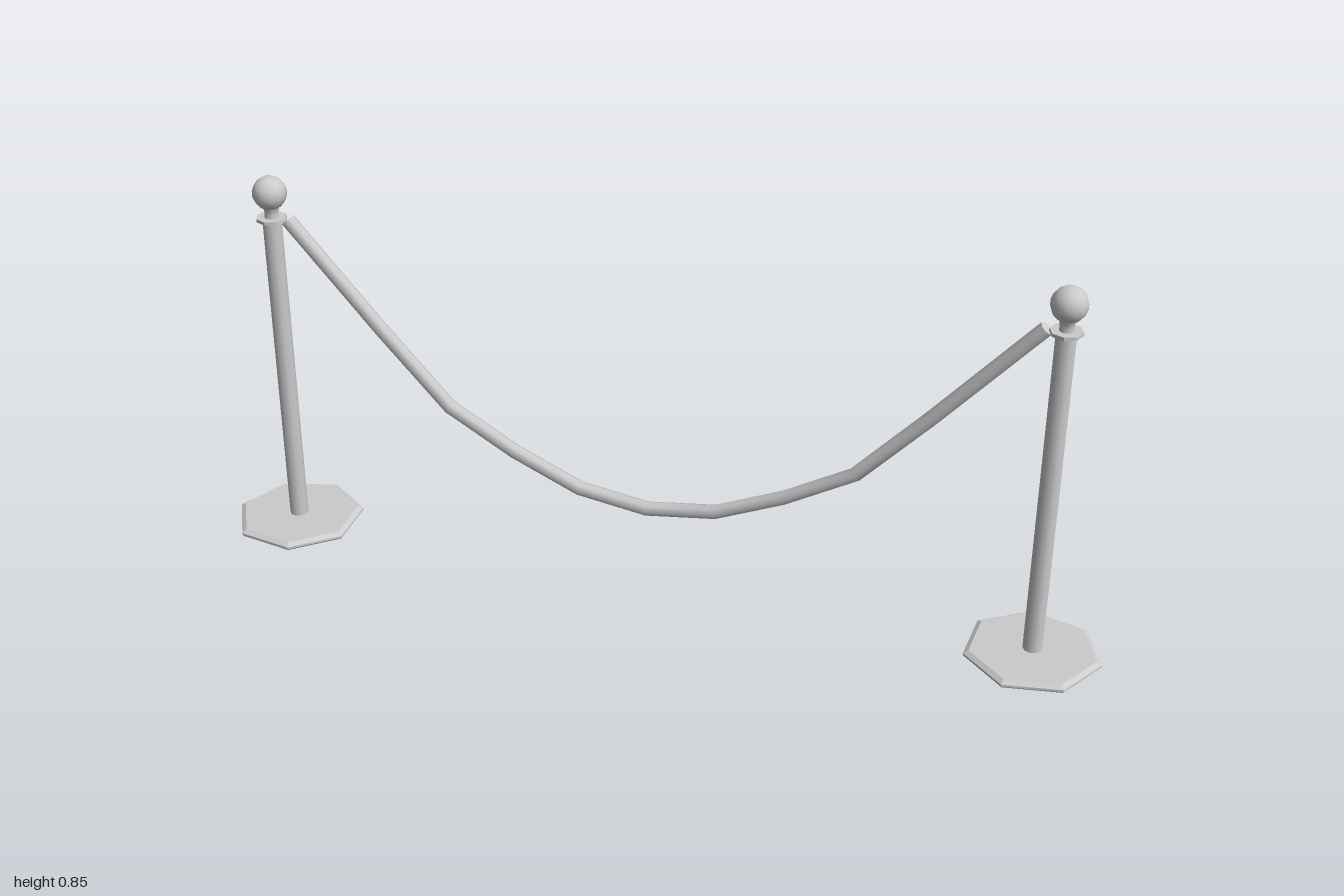
import * as THREE from 'three';

const smooth = new THREE.MeshStandardMaterial({ color: 0xcccccc });
const flat = new THREE.MeshStandardMaterial({ color: 0xcccccc, flatShading: true });

const POST_X = 0.853;
const POST_Z = 0.002;

function part(name, geometry, material, y = 0) {
  const mesh = new THREE.Mesh(geometry, material);
  mesh.name = name;
  mesh.position.y = y;
  return mesh;
}

function lathe(profile, sides, phiStart = 0) {
  return new THREE.LatheGeometry(profile.map(([r, y]) => new THREE.Vector2(r, y)), sides, phiStart);
}

// One post; side is +1 for left (+x) and -1 for right
function createPost(side) {
  const post = new THREE.Group();
  post.name = side > 0 ? 'leftPost' : 'rightPost';
  post.position.set(side * POST_X, 0, POST_Z);

  // Seven-sided foot plate with a bevelled rim, a corner pointing outwards
  const start = side * THREE.MathUtils.degToRad(87);
  post.add(part('base', lathe([[0, 0], [0.143, 0], [0.147, 0.004], [0.147, 0.009], [0.136, 0.016], [0, 0.016]], 7, start), flat));

  post.add(part('pole', new THREE.CylinderGeometry(0.021, 0.021, 0.742, 10), smooth, 0.385));
  post.add(part('collar', new THREE.CylinderGeometry(0.034, 0.034, 0.007, 8), flat, 0.756));
  post.add(part('neck', lathe([[0.016, 0.757], [0.0145, 0.768], [0.016, 0.777], [0.021, 0.788]], 10), smooth));
  post.add(part('ball', new THREE.SphereGeometry(0.0375, 12, 9), smooth, 0.815));
  return post;
}

// Sagging path made of straight segments with evenly numbered corners
class RopeCurve extends THREE.Curve {
  constructor(points) {
    super();
    this.points = points;
  }
  getPoint(t, target = new THREE.Vector3()) {
    const f = t * (this.points.length - 1);
    const i = Math.min(Math.floor(f), this.points.length - 2);
    return target.lerpVectors(this.points[i], this.points[i + 1], f - i);
  }
  getPointAt(u, target) {
    return this.getPoint(u, target);
  }
  getTangentAt(u, target) {
    return this.getTangent(u, target);
  }
}

function createRope() {
  const rope = new THREE.Group();
  rope.name = 'rope';
  const half = [[0.815, 0.758], [0.605, 0.522], [0.455, 0.362], [0.305, 0.277], [0.155, 0.212]];
  const points = [
    ...half.map(([x, y]) => new THREE.Vector3(-x, y, POST_Z)),
    new THREE.Vector3(0, 0.19, POST_Z),
    ...half.slice().reverse().map(([x, y]) => new THREE.Vector3(x, y, POST_Z)),
  ];
  const curve = new RopeCurve(points);
  const radius = 0.016;
  rope.add(part('ropeLength', new THREE.TubeGeometry(curve, points.length - 1, radius, 8), smooth));

  // Flat discs closing both ends
  for (const t of [0, 1]) {
    const cap = part('ropeEnd', new THREE.CircleGeometry(radius, 8), smooth);
    const outward = curve.getTangentAt(t).multiplyScalar(t ? 1 : -1);
    cap.position.copy(curve.getPoint(t));
    cap.quaternion.setFromUnitVectors(new THREE.Vector3(0, 0, 1), outward);
    rope.add(cap);
  }
  return rope;
}

export function createModel() {
  const model = new THREE.Group();
  model.name = 'ropeBarrier';
  model.add(createPost(1), createPost(-1), createRope());
  return model;
}
